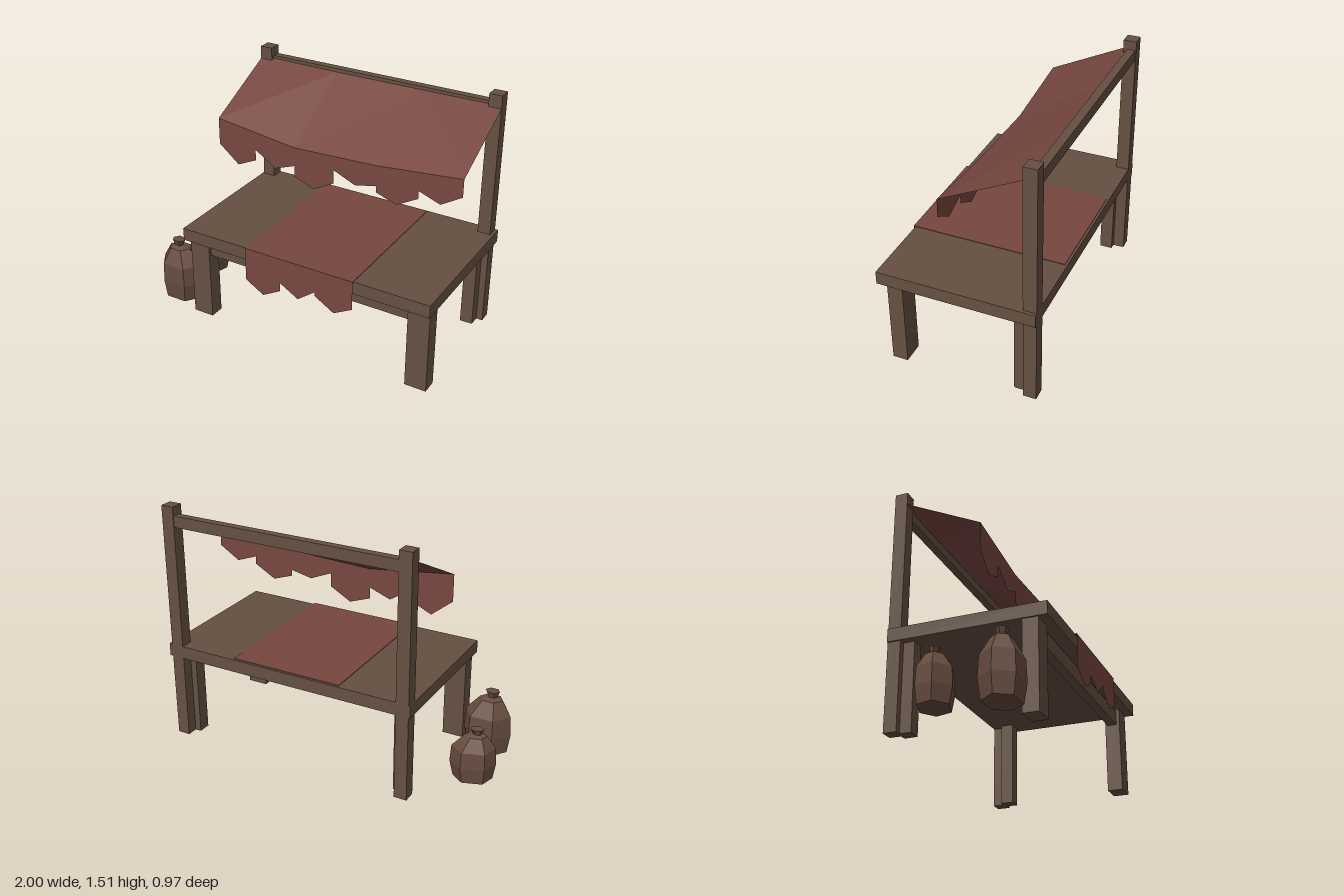
import * as THREE from 'three';

const mat = (name, color, double) => {
  const m = new THREE.MeshStandardMaterial({ color, flatShading: true });
  m.name = name;
  if (double) m.side = THREE.DoubleSide;
  return m;
};

export function createModel() {
  const root = new THREE.Group();
  root.name = 'marketStall';
  const wood = mat('wood', 0x655041);
  const cloth = mat('redCloth', 0x774740, true);
  const burlap = mat('burlap', 0x674c3f);

  const add = (name, geo, material) => {
    const m = new THREE.Mesh(geo, material);
    m.name = name;
    root.add(m);
    return m;
  };
  // box given by its limits on each axis
  const box = (name, [x0, x1], [y0, y1], [z0, z1], material = wood) => {
    const g = new THREE.BoxGeometry(x1 - x0, y1 - y0, z1 - z0);
    g.translate((x0 + x1) / 2, (y0 + y1) / 2, (z0 + z1) / 2);
    return add(name, g, material);
  };
  const triangles = (points) => {
    const g = new THREE.BufferGeometry();
    g.setAttribute('position', new THREE.Float32BufferAttribute(points.flat(), 3));
    g.computeVertexNormals();
    return g;
  };
  // flat hanging cloth in the XY plane
  const hanging = (name, outline, z) => {
    const g = new THREE.ShapeGeometry(new THREE.Shape(outline.map(([x, y]) => new THREE.Vector2(x, y))));
    g.translate(0, 0, z);
    add(name, g, cloth);
  };

  // table
  box('tableTop', [-0.65, 1], [0.54, 0.62], [-0.485, 0.475]);
  box('frontRail', [-0.51, 0.85], [0.435, 0.53], [0.34, 0.4]);

  // legs and posts, mirrored about the table's middle
  const mid = 0.17;
  for (const s of [-1, 1]) {
    const span = (a, b) => [mid + s * a, mid + s * b].sort((p, q) => p - q);
    box('frontLeg', span(0.675, 0.81), [0, 0.54], [0.325, 0.42]);
    box('backLeg', span(0.69, 0.77), [0, 0.54], [-0.415, -0.335]);
    box('backPost', span(0.73, 0.81), [0, 1.515], [-0.485, -0.405]);
  }
  box('topBeam', [-0.56, 0.9], [1.39, 1.46], [-0.48, -0.43]);

  // sagging canopy
  const xs = [-0.64, -0.1, 0.45, 0.98];
  const lowY = [1.2, 1.13, 1.15, 1.2];
  const topY = [1.445, 1.44, 1.442, 1.445];
  const top = xs.map((x, i) => [x, topY[i], -0.425]);
  const low = xs.map((x, i) => [x, lowY[i], 0.075]);
  const faces = [];
  for (let i = 0; i < 3; i++) {
    if (i < 2) faces.push(top[i], low[i], top[i + 1], top[i + 1], low[i], low[i + 1]);
    else faces.push(top[i], low[i], low[i + 1], top[i], low[i + 1], top[i + 1]);
  }
  add('canopy', triangles(faces.flat().length ? faces : []), cloth);

  // ragged valance under the canopy edge
  hanging('canopyValance', [
    ...xs.map((x, i) => [x, lowY[i]]).reverse(),
    [-0.64, 1.03], [-0.505, 0.92], [-0.375, 0.98], [-0.375, 1.05], [-0.235, 0.96],
    [-0.1, 1.01], [-0.1, 0.94], [0.035, 0.89], [0.17, 0.965], [0.17, 1.05],
    [0.31, 0.99], [0.45, 1.02], [0.45, 0.98], [0.58, 0.935], [0.715, 1.01],
    [0.715, 1.06], [0.85, 1.01], [0.98, 1.09],
  ], 0.075);

  // table runner with ragged front drop
  box('tableRunner', [-0.19, 0.53], [0.618, 0.624], [-0.47, 0.485], cloth);
  hanging('runnerDrop', [
    [0.53, 0.622], [-0.19, 0.622], [-0.19, 0.41], [-0.07, 0.338], [0.05, 0.405],
    [0.05, 0.46], [0.17, 0.39], [0.285, 0.475], [0.285, 0.45], [0.41, 0.375], [0.53, 0.44],
  ], 0.485);

  // faceted sacks: a plan outline scaled about the neck at each height [height, scale]
  const rings = [[0, 0.86], [0.3, 1], [0.62, 0.95], [0.865, 0.48], [0.9, 0.18], [1, 0.3]];
  const sack = (name, [cx, cz], height, plan) => {
    const ring = rings.map(([h, s]) => plan.map(([x, z]) => [cx + (x - cx) * s, h * height, cz + (z - cz) * s]));
    const pts = [];
    const n = plan.length;
    const last = ring.length - 1;
    for (let i = 0; i < n; i++) {
      const j = (i + 1) % n;
      for (let k = 0; k < last; k++) {
        const a = ring[k], b = ring[k + 1];
        pts.push(a[j], a[i], b[i], a[j], b[i], b[j]);
      }
      pts.push([cx, 0, cz], ring[0][i], ring[0][j]);
      pts.push([cx, height, cz], ring[last][j], ring[last][i]);
    }
    add(name, triangles(pts), burlap);
  };
  sack('largeSack', [-0.845, 0.295], 0.4,
    [[-0.97, 0.29], [-0.89, 0.18], [-0.735, 0.18], [-0.665, 0.285], [-0.74, 0.395], [-0.9, 0.395]]);
  sack('smallSack', [-0.895, -0.065], 0.33,
    [[-1, -0.02], [-0.97, -0.13], [-0.835, -0.177], [-0.74, -0.11], [-0.77, 0.005], [-0.9, 0.05]]);

  return root;
}
